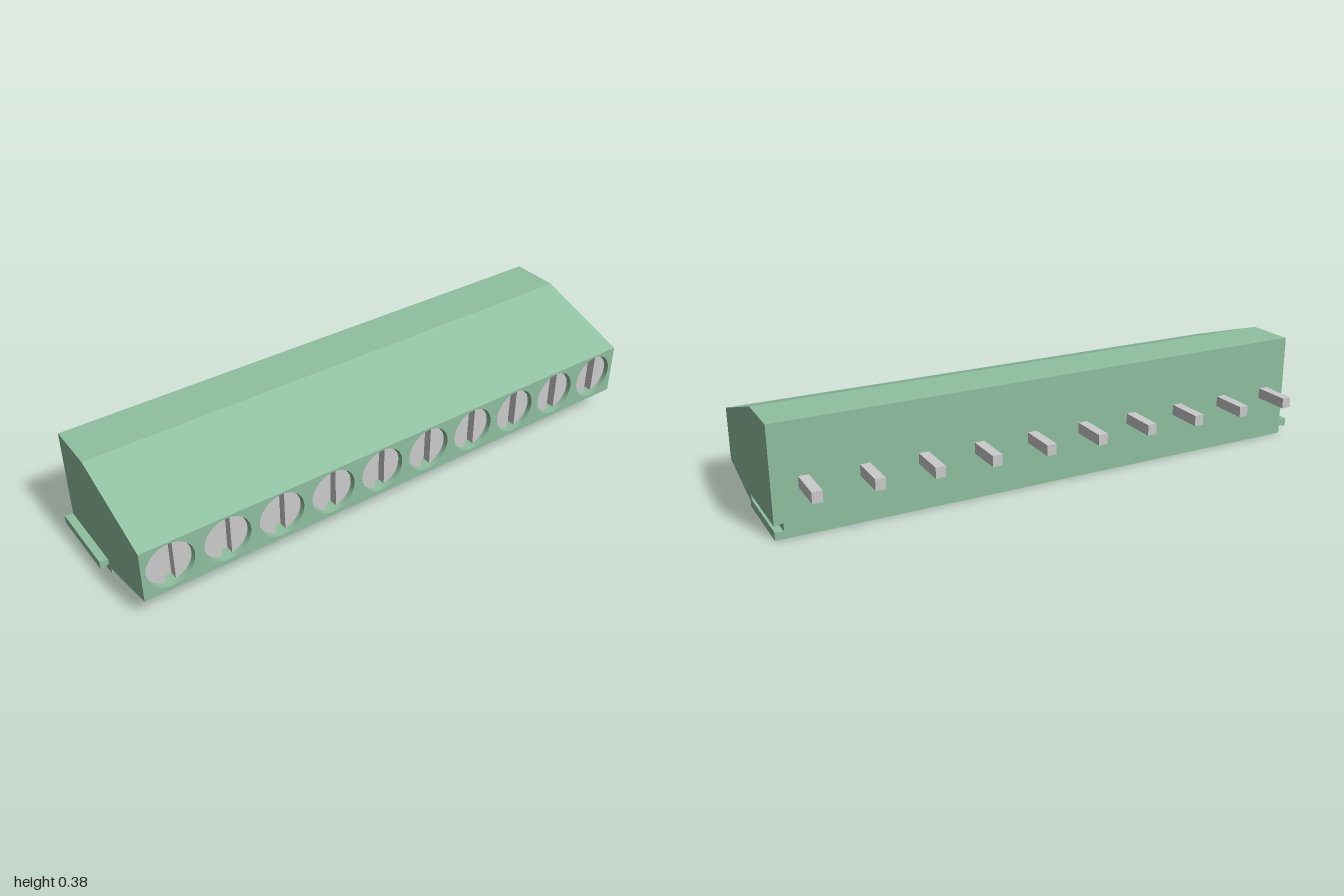
import * as THREE from 'three';

const green = new THREE.MeshStandardMaterial({ color: 0x8fbfa0, side: THREE.DoubleSide, flatShading: true });
const greenInside = new THREE.MeshStandardMaterial({ color: 0x8fbfa0, side: THREE.BackSide });
const grey = new THREE.MeshStandardMaterial({ color: 0xcccccc });

const X0 = -0.97, X1 = 1, BACK = -0.2, FRONT = 0.335;
const COUNT = 10, PITCH = 0.197, FIRST = -0.873;
const SCREW_Y = 0.175, WELL_R = 0.083, WELL_DEPTH = 0.06;
const RAIL_FRONT = 0.073;
const centers = Array.from({ length: COUNT }, (_, i) => FIRST + i * PITCH);
const V = (x, y, z) => new THREE.Vector3(x, y, z);
const points = (list) => list.map(([x, y]) => new THREE.Vector2(x, y));

// Side profile of the housing as [z, y], starting at the bottom rear corner
const profile = [[BACK, 0], [0.088, 0], [0.088, 0.02], [FRONT, 0.078], [FRONT, 0.265], [-0.02, 0.38], [BACK, 0.38]];
// Dovetail section as [inset from the mouth, y]
const dovetail = [[0, 0.03], [0.03, 0.024], [0.03, 0.054], [0, 0.048]];

function add(group, name, geometry, material, x = 0, y = 0, z = 0) {
  const mesh = new THREE.Mesh(geometry, material);
  mesh.name = name;
  mesh.position.set(x, y, z);
  group.add(mesh);
  return mesh;
}

// Flat panel with holes, laid in the plane spanned by u and v
function panel(outline, holes, origin, u, v) {
  const shape = new THREE.Shape(points(outline));
  shape.holes = holes;
  const m = new THREE.Matrix4().makeBasis(u, v, u.clone().cross(v)).setPosition(origin);
  return new THREE.ShapeGeometry(shape, 16).applyMatrix4(m);
}

function addHousing(group) {
  const housing = new THREE.Group();
  housing.name = 'housing';
  group.add(housing);
  const names = ['bottom', 'bottomStep', 'lowerSlope', 'frontFace', 'upperSlope', 'top', 'back'];

  // Long panels, one per profile edge
  profile.forEach(([z, y], i) => {
    const [zn, yn] = profile[(i + 1) % profile.length];
    const dir = V(0, yn - y, zn - z);
    const len = dir.length();
    let outline = [[X0, 0], [X1, 0], [X1, len], [X0, len]];
    let holes = [];
    if (names[i] === 'frontFace') {
      holes = centers.map((x) => new THREE.Path().absarc(x, SCREW_Y - y, WELL_R, 0, Math.PI * 2, true));
    } else if (names[i] === 'bottom') {
      holes = centers.map((x) => new THREE.Path(points(
        [[x - 0.08, 0.035], [x - 0.08, 0.253], [x + 0.08, 0.253], [x + 0.08, 0.035]])));
    } else if (names[i] === 'back') {
      const notch = dovetail.map(([d, h]) => [X1 - d, len - h]).reverse();
      outline = [[X0, 0], [X1, 0], ...notch, [X1, len], [X0, len]];
    }
    add(housing, names[i], panel(outline, holes, V(0, y, z), V(1, 0, 0), dir.normalize()), green);
  });

  // Ends: plain on the right, notched by the groove mouth on the left
  add(housing, 'rightEnd', panel(profile, [], V(X0, 0, 0), V(0, 0, 1), V(0, 1, 0)), green);
  const leftOutline = [...profile.map(([z, y]) => [-z, y]),
    [-BACK, 0.048], [-RAIL_FRONT, 0.048], [-RAIL_FRONT, 0.03], [-BACK, 0.03]];
  add(housing, 'leftEnd', panel(leftOutline, [], V(X1, 0, 0), V(0, 0, -1), V(0, 1, 0)), green);

  // Dovetail groove in the left end
  for (let i = 0; i < 3; i++) {
    const [a, ya] = dovetail[i], [b, yb] = dovetail[i + 1];
    const dir = V(a - b, yb - ya, 0);
    const len = dir.length(), run = RAIL_FRONT - BACK;
    add(housing, 'grooveWall', panel([[0, 0], [run, 0], [run, len], [0, len]], [],
      V(X1 - a, ya, BACK), V(0, 0, 1), dir.normalize()), green);
  }
  add(housing, 'grooveStop', panel(dovetail.map(([d, y]) => [d, y]), [],
    V(X1, 0, RAIL_FRONT), V(-1, 0, 0), V(0, 1, 0)), green);

  // Matching dovetail rail on the right end
  const rail = new THREE.Shape(points(dovetail.map(([d, y]) => [X0 - d, y])));
  add(housing, 'rail', new THREE.ExtrudeGeometry(rail, { depth: RAIL_FRONT - BACK, bevelEnabled: false }),
    green, 0, 0, BACK);
}

// Half of a slotted screw head
function halfHead(r, slot) {
  const a = Math.asin(slot / 2 / r);
  const shape = new THREE.Shape().absarc(0, 0, r, -Math.PI / 2 + a, Math.PI / 2 - a, false);
  shape.closePath();
  return new THREE.ExtrudeGeometry(shape, { depth: 0.03, bevelEnabled: false, curveSegments: 16 });
}

export function createModel() {
  const model = new THREE.Group();
  model.name = 'terminalBlock';
  addHousing(model);

  const well = new THREE.CylinderGeometry(WELL_R, WELL_R, WELL_DEPTH, 32, 1, true).rotateX(Math.PI / 2);
  const wellFloor = new THREE.CircleGeometry(WELL_R, 32);
  const head = halfHead(0.078, 0.036);
  const core = new THREE.CylinderGeometry(0.078, 0.078, 0.015, 32).rotateX(Math.PI / 2);
  const funnel = new THREE.CylinderGeometry(0, Math.SQRT1_2, 1, 4, 1, true)
    .rotateY(Math.PI / 4).scale(0.16, 0.11, 0.218);
  const pin = new THREE.BoxGeometry(0.034, 0.038, 0.135);

  for (const x of centers) {
    // Screw well and slotted screw
    add(model, 'screwWell', well, greenInside, x, SCREW_Y, FRONT - WELL_DEPTH / 2);
    add(model, 'screwWellFloor', wellFloor, green, x, SCREW_Y, FRONT - WELL_DEPTH);
    const screw = new THREE.Group();
    screw.name = 'screw';
    screw.position.set(x, SCREW_Y, FRONT - 0.045);
    add(screw, 'screwHeadHalf', head, grey);
    add(screw, 'screwHeadHalf', head, grey).rotation.z = Math.PI;
    add(screw, 'screwCore', core, grey, 0, 0, -0.0075);
    model.add(screw);

    // Tapered wire entry below and contact pin behind
    add(model, 'wireFunnel', funnel, green, x, 0.055, -0.056);
    add(model, 'pin', pin, grey, x - 0.003, 0.179, BACK - 0.0675);
  }
  return model;
}
